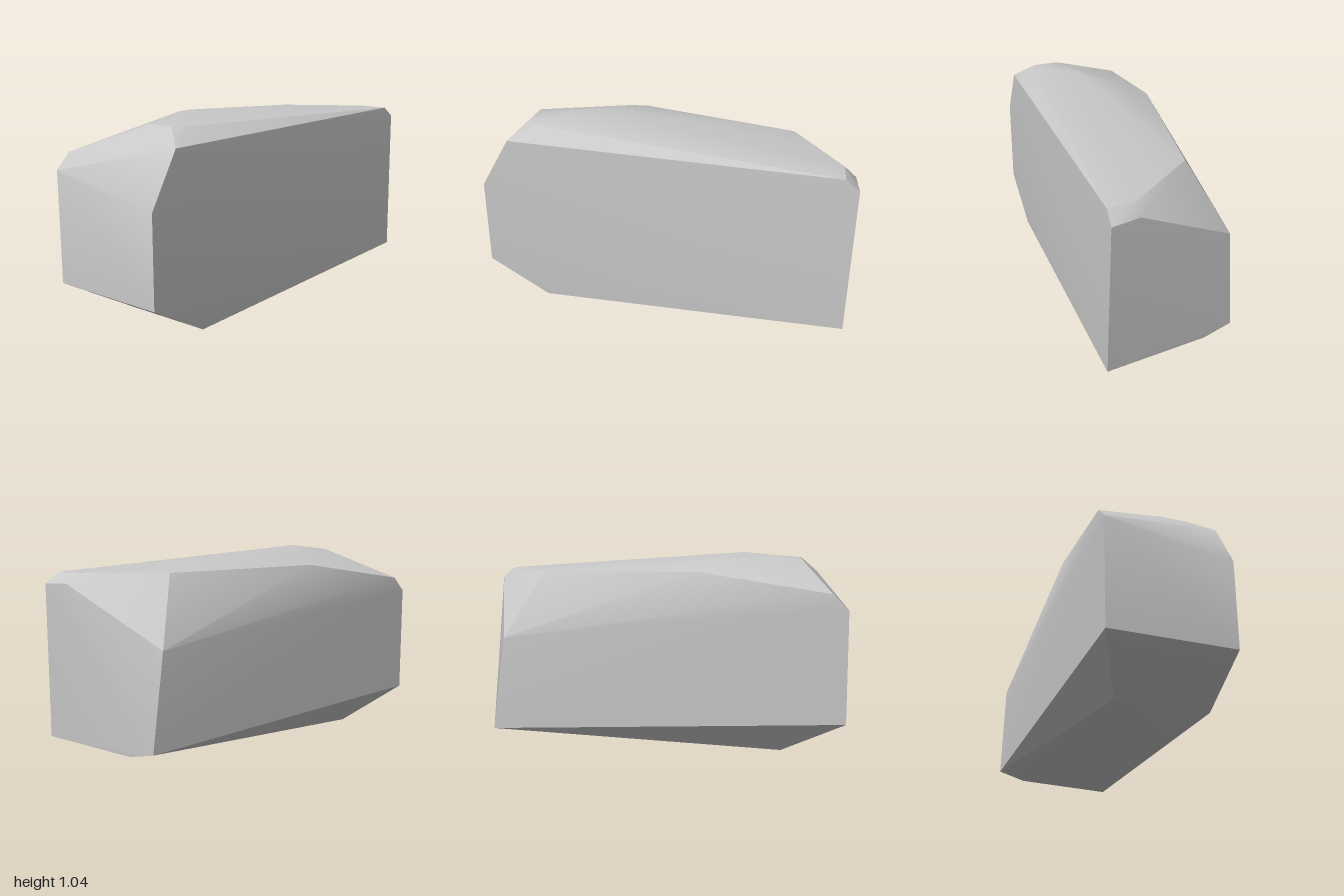
import * as THREE from 'three';
import { ConvexGeometry } from 'three/addons/geometries/ConvexGeometry.js';
import { toCreasedNormals } from 'three/addons/utils/BufferGeometryUtils.js';

export function createModel() {
  const group = new THREE.Group();
  group.name = 'stoneBlock';

  const stone = new THREE.MeshStandardMaterial({ color: 0xc8c8c8 });
  stone.name = 'stoneGrey';

  // Corners of the chipped block, grouped by where the stone was cut
  const corners = {
    frontFace: [[-0.355, 0.765, 1], [0.3, 0.655, 1], [0.3, 0.185, 1], [-0.35, 0.185, 1]],
    frontBevel: [[-0.355, 0.845, 0.92], [0.05, 1.005, 0.755], [0.19, 1.005, 0.755], [0.3, 0.927, 0.84]],
    topRidge: [[0.02, 1.038, 0.45], [0.225, 1.003, 0.7], [-0.19, 0.995, 0.3], [-0.32, 0.947, 0.24], [-0.18, 0.937, -0.61]],
    rearBevel: [[0.335, 0.93, -0.93], [0.19, 0.932, -0.91], [0.02, 0.937, -0.75]],
    rearFace: [[0.34, 0.875, -1], [0.19, 0.881, -0.97], [-0.355, 0.59, -0.79], [-0.355, 0.1, -0.855], [0.353, 0.08, -0.985]],
    underside: [[0.3, 0, 0.67], [-0.19, 0, 0.67], [0.1, 0, 0], [-0.2, 0.065, -0.88]],
  };
  const points = Object.values(corners).flat().map((p) => new THREE.Vector3(...p));

  // Soft over shallow facets, sharp along the main cuts
  const geometry = toCreasedNormals(new ConvexGeometry(points), 0.55);
  const block = new THREE.Mesh(geometry, stone);
  block.name = 'block';
  group.add(block);
  return group;
}
